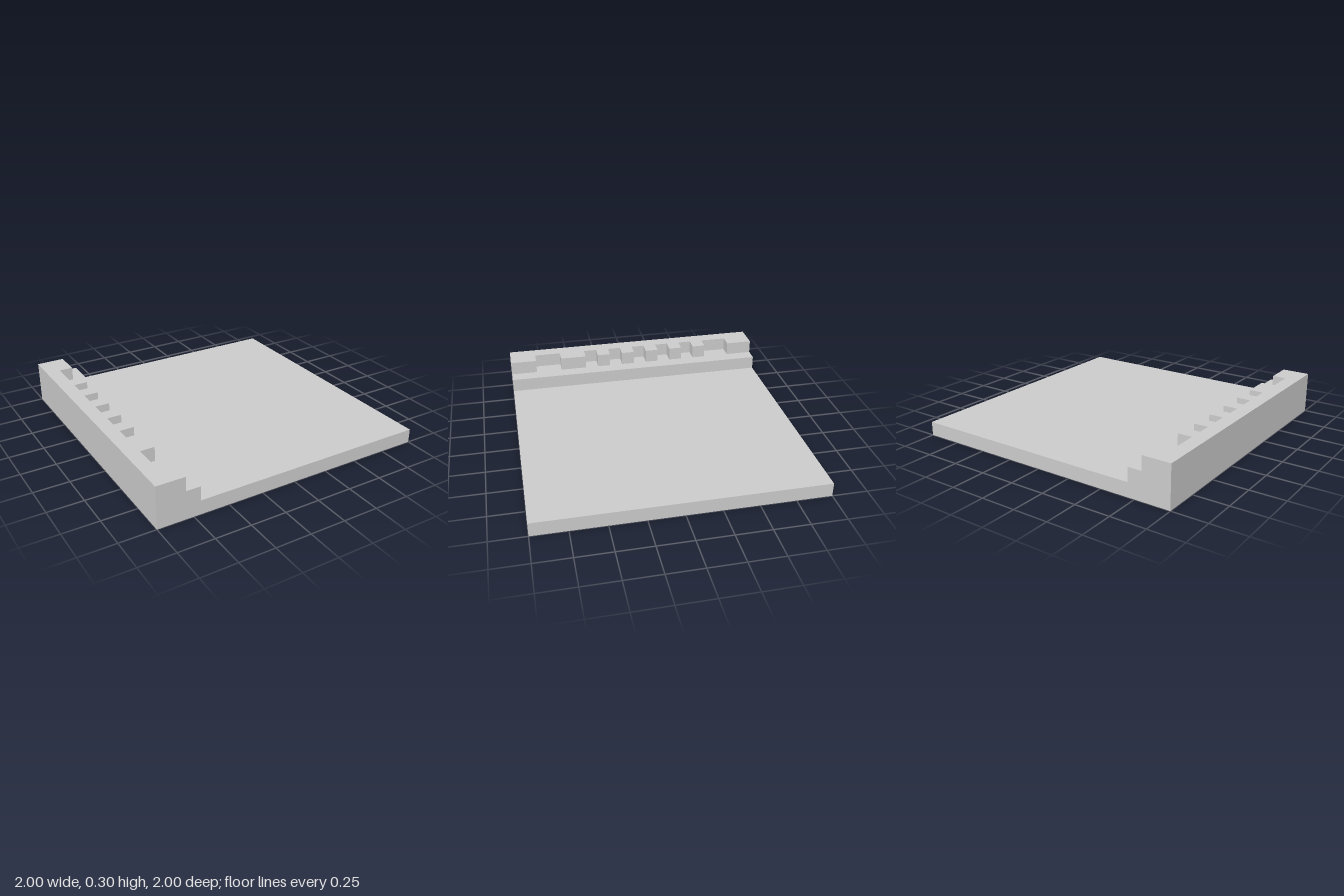
import * as THREE from 'three';

const material = new THREE.MeshStandardMaterial({ color: 0xcccccc, flatShading: true });

// Prism from a closed outline, extruded along +z
function prism(name, points, depth) {
  const shape = new THREE.Shape(points.map(([x, y]) => new THREE.Vector2(x, y)));
  const geometry = new THREE.ExtrudeGeometry(shape, { depth, bevelEnabled: false });
  const mesh = new THREE.Mesh(geometry, material);
  mesh.name = name;
  return mesh;
}

export function createModel() {
  const group = new THREE.Group();
  group.name = 'notchedPlate';

  // Flat plate with a raised ledge along its right edge
  const plate = prism('plateWithLedge', [
    [-1, 0], [1, 0], [1, 0.1], [-0.7, 0.1], [-0.7, 0.2], [-1, 0.2],
  ], 2);
  plate.geometry.translate(0, 0, -1);
  group.add(plate);

  // Notches in the upper rail as [front z, back z], listed front to back
  const notches = [[0.8, 0.6]];
  for (let i = 0; i < 5; i++) notches.push([0.4 - i * 0.2, 0.3 - i * 0.2]);
  notches.push([-0.6, -0.8]);

  // Plan outline of the toothed rail; outline y is -z
  const outline = [[-1, -1], [-0.8, -1]];
  for (const [front, back] of notches) {
    outline.push([-0.8, -front], [-0.9, -front], [-0.9, -back], [-0.8, -back]);
  }
  outline.push([-0.8, 1], [-1, 1]);

  const rail = prism('toothedRail', outline, 0.1);
  rail.geometry.rotateX(-Math.PI / 2);
  rail.geometry.translate(0, 0.2, 0);
  group.add(rail);

  return group;
}
